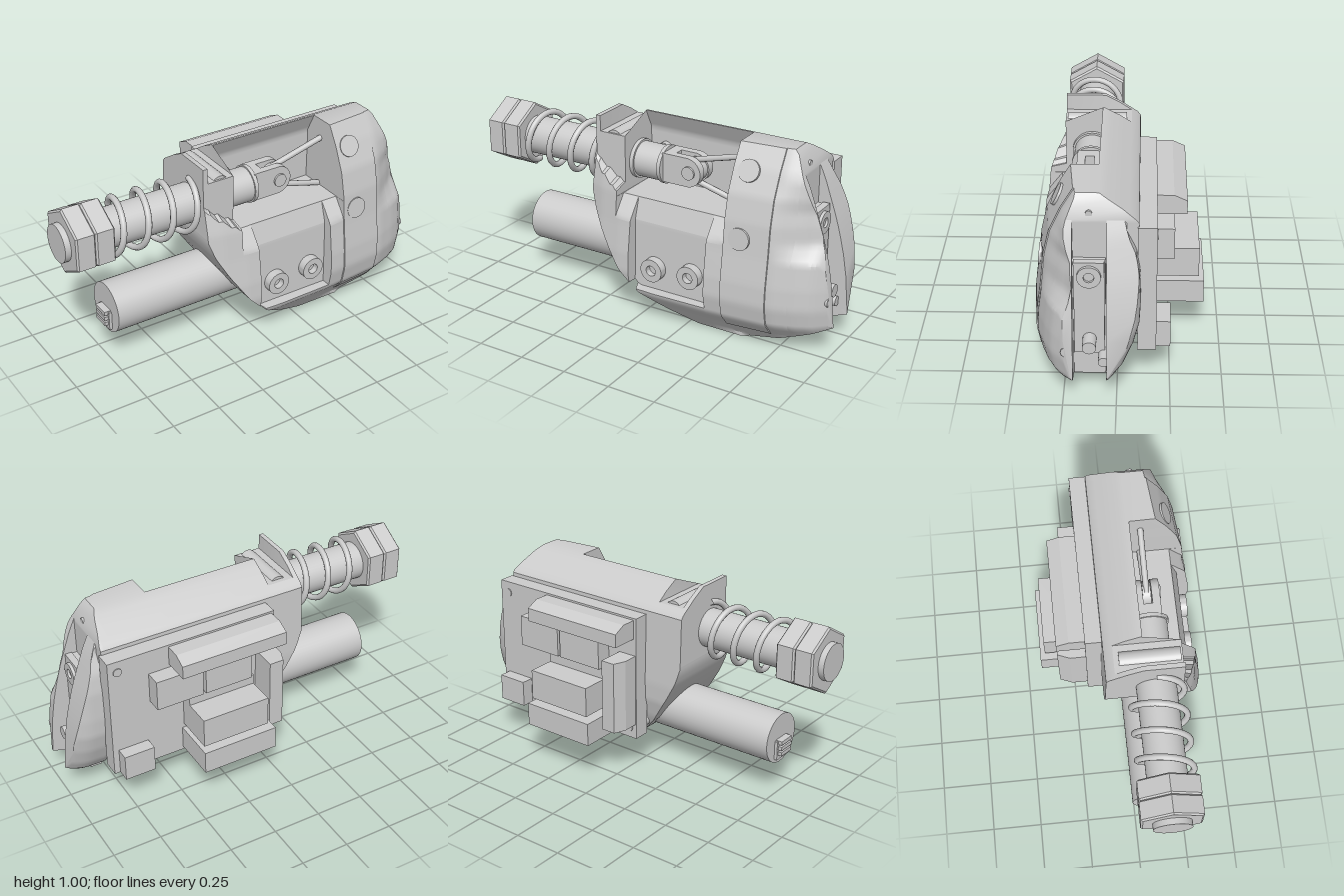
import * as THREE from 'three';
import { toCreasedNormals } from 'three/addons/utils/BufferGeometryUtils.js';

const mat = new THREE.MeshStandardMaterial({ color: 0xcccccc, side: THREE.DoubleSide });
const flat = new THREE.MeshStandardMaterial({ color: 0xcccccc, side: THREE.DoubleSide, flatShading: true });

// Piecewise linear lookup through [key, value] pairs
function lerp(t, k) {
  if (t <= k[0][0]) return k[0][1];
  for (let i = 1; i < k.length; i++) {
    if (t <= k[i][0]) {
      const [a, va] = k[i - 1], [b, vb] = k[i];
      return va + (vb - va) * (t - a) / (b - a);
    }
  }
  return k[k.length - 1][1];
}

// Housing outlines: bottom and top along x (top has a notch), front and back along y, front falloff along x
const BOTTOM = [[-0.29, 0.62], [-0.26, 0.53], [-0.2, 0.42], [-0.1, 0.27], [0, 0.165], [0.15, 0.065], [0.3, 0], [0.55, 0], [0.75, 0.05], [1, 0.145]];
const TOP = [[-0.2655, 1], [-0.2645, 0.92], [-0.1205, 0.92], [-0.1195, 1], [0.77, 1], [0.85, 0.83], [0.92, 0.63], [0.96, 0.48], [0.985, 0.33], [1, 0.15]];
const FRONT = [[0, 0.275], [0.08, 0.335], [0.15, 0.395], [0.25, 0.415], [0.35, 0.41], [0.5, 0.39], [0.65, 0.375], [0.78, 0.345], [0.9, 0.29], [1, 0.23]];
const BACK = [[0, 0.27], [0.04, 0.16], [0.08, 0.07], [0.14, 0], [0.2, -0.04], [0.3, -0.08], [0.4, -0.105], [0.5, -0.11], [0.7, -0.105], [0.88, -0.1], [0.9, -0.085], [0.96, 0.005], [1, 0.08]];
const INSET = [[-0.29, 0.055], [-0.22, 0.03], [-0.1, 0.01], [0.1, 0], [0.4, 0.007], [0.75, 0.04], [0.85, 0.075], [0.92, 0.11], [1, 0.185]];

const frontZ = (x, y) => {
  let z = lerp(y, FRONT) - lerp(x, INSET);
  if (x > 0.49 && x < 0.72 && y > 0.08) z += 0.006;                          // raised strap
  if (x > 0.72)                                                              // scoop beside the strap
    z -= lerp(x, [[0.72, 0], [0.9, 0.06]]) * lerp(y, [[0.48, 0], [0.57, 1], [0.72, 1], [0.86, 0]]);
  if (x < -0.12 && y > lerp(x, [[-0.29, 0.78], [-0.12, 0.66]])) z = 0.28;    // upright face round the plunger
  if (x > -0.12 && x < 0.49 && y > 0.52)                                     // sloping ledge
    z = Math.min(z, lerp(y, [[0.52, 0.385], [0.63, 0.3]]));
  if (x > -0.03 && x < 0.4 && y > 0.17 && y < 0.63)                          // screw pocket
    z = Math.min(z, lerp(y, [[0.17, 0.345], [0.52, 0.335], [0.63, 0.3]]));
  if (x > -0.12 && x < 0.49 && y > 0.63) z = Math.min(z, 0.04 + Math.max(0, y - 0.9) * 0.5); // lever bay
  return z;
};
const backZ = (x, y) => {
  const z = lerp(y, BACK);
  return x > 0.6 && x < 0.8 && y < 0.34 ? Math.max(z, 0.05) : z;             // standoff recess
};

// Evenly spaced values plus a close pair on each side of every step
function stations(a, b, step, edges) {
  const s = [];
  const n = Math.ceil((b - a) / step);
  for (let i = 0; i <= n; i++) s.push(a + (b - a) * i / n);
  for (const e of edges) if (e > a && e < b) s.push(e - 0.0007, e + 0.0007);
  return s.sort((p, q) => p - q);
}

// Loft along x, with closed sections between a back and a front surface
function loft(x0, x1, zf, zb) {
  const xs = stations(x0, x1, 0.02, [-0.265, -0.12, -0.03, 0.4, 0.49, 0.6, 0.72, 0.8]);
  const ys = stations(0, 1, 0.02, [0.08, 0.17, 0.34, 0.52, 0.63, 0.92]);
  const n = ys.length, ring = 2 * n, pos = [], idx = [];
  for (const x of xs) {
    const lo = lerp(x, BOTTOM), hi = Math.max(lo, lerp(x, TOP));
    const front = [], back = [];
    for (const level of ys) {
      const y = Math.min(hi, Math.max(lo, level)), b = zb(x, y);
      front.push([x, y, Math.max(b, zf(x, y))]);
      back.unshift([x, y, b]);
    }
    pos.push(...front.flat(), ...back.flat());
  }
  for (let i = 0; i < xs.length - 1; i++) {
    for (let k = 0; k < ring; k++) {
      const a = i * ring + k, d = i * ring + (k + 1) % ring;
      idx.push(a, a + ring, d, a + ring, d + ring, d);
    }
  }
  const e = (xs.length - 1) * ring;
  for (let j = 0; j < n - 1; j++) {
    const f = j, b = ring - 1 - j;
    idx.push(b, f, b - 1, f, f + 1, b - 1);
    idx.push(e + b, e + b - 1, e + f, e + f, e + b - 1, e + f + 1);
  }
  const g = new THREE.BufferGeometry();
  g.setAttribute('position', new THREE.Float32BufferAttribute(pos, 3));
  g.setIndex(idx);
  return toCreasedNormals(g, 0.5);
}

export function createModel() {
  const root = new THREE.Group();
  const add = (name, geo, m = mat) => {
    const mesh = new THREE.Mesh(geo, m);
    mesh.name = name;
    root.add(mesh);
    return mesh;
  };
  const box = (name, x0, x1, y0, y1, z0, z1) =>
    add(name, new THREE.BoxGeometry(x1 - x0, y1 - y0, z1 - z0)).position.set((x0 + x1) / 2, (y0 + y1) / 2, (z0 + z1) / 2);
  const cylX = (name, x0, x1, y, z, r, seg = 40) =>
    add(name, new THREE.CylinderGeometry(r, r, x1 - x0, seg).rotateZ(Math.PI / 2)).position.set((x0 + x1) / 2, y, z);
  const cylZ = (name, x, y, z0, z1, r, seg = 32) =>
    add(name, new THREE.CylinderGeometry(r, r, z1 - z0, seg).rotateX(Math.PI / 2)).position.set(x, y, (z0 + z1) / 2);
  const shape = (pts) => new THREE.Shape(pts.map(([a, b]) => new THREE.Vector2(a, b)));
  const extrude = (s, depth) => new THREE.ExtrudeGeometry(s, { depth, bevelEnabled: false, curveSegments: 20 });
  // Socket screw head: a ring with a recessed middle, facing local +z
  const screw = (name, x, y, z, r, h, sides) => {
    const s = new THREE.Shape().absarc(0, 0, r, 0, Math.PI * 2);
    s.holes.push(new THREE.Path(new THREE.Shape().absarc(0, 0, r * 0.45, 0, Math.PI * 2).getPoints(sides / 2)));
    const g = new THREE.Group();
    g.name = name;
    const head = new THREE.Mesh(toCreasedNormals(extrude(s, h), 0.6), mat);
    head.name = name + 'Head';
    const floor = new THREE.Mesh(new THREE.CircleGeometry(r * 0.6, 20), mat);
    floor.name = name + 'Socket';
    floor.position.z = h * 0.4;
    g.add(head, floor);
    g.position.set(x, y, z);
    root.add(g);
    return g;
  };

  // Housing, forked at its left end
  add('housing', loft(-0.29, 0.82, frontZ, backZ));
  add('frontJaw', loft(0.82, 1, frontZ, (x, y) => Math.max(0.2, backZ(x, y))));
  add('rearJaw', loft(0.82, 1,
    (x, y) => Math.min(0.045, frontZ(x, y)),
    (x, y) => backZ(x, y) + 0.05 * Math.max(0, (x - 0.88) / 0.12) ** 2 + lerp(y, [[0.65, 0], [0.75, 0.015], [0.84, 0.055]])));

  // Bar inside the fork
  box('forkBar', 0.8, 0.86, 0.085, 0.7, 0.05, 0.2);
  box('forkBarPlate', 0.85, 0.885, 0.22, 0.71, 0.055, 0.195);
  screw('forkScrew', 0.88, 0.64, 0.125, 0.055, 0.02, 12).rotation.y = Math.PI / 2;
  cylX('forkPin', 0.88, 0.965, 0.3, 0.125, 0.032);
  cylX('sideScrewFront', 0.84, 0.985, 0.29, 0.23, 0.025, 20);
  cylX('sideScrewRear', 0.84, 0.95, 0.21, 0.06, 0.025, 20);
  cylX('topPin', 0.77, 0.812, 0.92, 0.125, 0.016, 16);

  // Front screws and the strap rivets
  for (const [x, y] of [[0.09, 0.285], [0.3, 0.3]]) {
    screw('pocketScrew', x, y, 0.33, 0.06, 0.055, 32);
  }
  for (const y of [0.885, 0.57]) {
    const slope = (frontZ(0.57, y + 0.04) - frontZ(0.57, y - 0.04)) / 0.08;
    const rivet = add('strapRivet', new THREE.CylinderGeometry(0.055, 0.055, 0.02, 32).rotateX(Math.PI / 2));
    rivet.position.set(0.57, y, frontZ(0.57, y) - 0.002);
    rivet.rotation.x = Math.atan(slope);
  }

  // Pin lying in the top notch
  cylZ('notchPin', -0.19, 0.89, -0.03, 0.27, 0.046);

  // Spring plunger
  const AY = 0.765, AZ = 0.145;
  cylX('plungerRod', -0.8, -0.1, AY, AZ, 0.1);
  cylX('plungerEnd', -1, -0.78, AY, AZ, 0.095);
  const nutProfile = [[0, 0], [0.162, 0], [0.173, 0.008], [0.173, 0.092], [0.162, 0.1], [0, 0.1]].map(([r, h]) => new THREE.Vector2(r, h));
  for (const x of [-0.87, -0.77]) {
    add('hexNut', new THREE.LatheGeometry(nutProfile, 6, Math.PI / 2).rotateZ(Math.PI / 2), flat).position.set(x, AY, AZ);
  }
  class Helix extends THREE.Curve {
    getPoint(t, v = new THREE.Vector3()) {
      const a = t * Math.PI * 2 * 3.5 + Math.PI;
      return v.set(-0.755 + 0.465 * t, AY + 0.133 * Math.cos(a), AZ - 0.133 * Math.sin(a));
    }
  }
  add('spring', new THREE.TubeGeometry(new Helix(), 220, 0.016, 10));

  // Clevis and link inside the bay
  cylX('plungerSleeve', -0.13, 0.05, AY, AZ, 0.09);
  cylX('sleeveCollar', 0.035, 0.055, AY, AZ, 0.098);
  const cheek = new THREE.Shape().moveTo(0.05, 0.695).lineTo(0.19, 0.695)
    .absarc(0.19, 0.77, 0.075, -Math.PI / 2, Math.PI / 2).lineTo(0.05, 0.845);
  for (const z of [0.085, 0.17]) add('clevisCheek', extrude(cheek, 0.04)).position.z = z;
  box('clevisRoot', 0.05, 0.11, 0.695, 0.845, 0.085, 0.21);
  cylZ('clevisPin', 0.2, 0.77, 0.075, 0.22, 0.034);
  cylZ('linkEye', 0.2, 0.77, 0.127, 0.168, 0.06);
  for (const [y0, y1] of [[0.815, 0.9], [0.72, 0.635]]) {
    const path = new THREE.LineCurve3(new THREE.Vector3(0.18, y0, 0.147), new THREE.Vector3(0.5, y1, 0.147));
    add('linkArm', new THREE.TubeGeometry(path, 1, 0.015, 8));
  }

  // Motor can below the plunger
  cylX('motorCan', -0.75, 0.2, 0.3, 0.115, 0.13, 48);
  for (const y of [0.235, 0.265, 0.295]) box('motorTerminal', -0.785, -0.74, y - 0.01, y + 0.01, 0.07, 0.16);
  box('terminalStrip', -0.765, -0.74, 0.2, 0.3, 0.06, 0.17);

  // Circuit board on standoffs with its components
  box('circuitBoard', -0.075, 0.83, 0.2, 0.86, -0.183, -0.095);
  for (const x of [-0.03, 0.72]) {
    for (const y of [0.255, 0.8]) cylZ('standoff', x, y, -0.1, 0.07, 0.035);
  }
  for (const [x, y] of [[-0.03, 0.255], [0.78, 0.8]]) cylZ('boardScrew', x, y, -0.188, -0.17, 0.022, 20);
  const rail = shape([[0.18, 0.75], [0.325, 0.75], [0.325, 0.82], [0.262, 0.85], [0.18, 0.85]]);
  add('topConnector', extrude(rail, 0.57).rotateY(Math.PI / 2)).position.x = -0.06;
  const side = shape([[-0.07, 0.18], [0.03, 0.18], [0.03, 0.325], [-0.045, 0.325], [-0.07, 0.262]]);
  add('sideConnector', extrude(side, 0.38).rotateX(-Math.PI / 2)).position.y = 0.28;
  box('chip', 0.37, 0.62, 0.57, 0.732, -0.266, -0.18);
  box('chip', 0.1, 0.355, 0.57, 0.732, -0.266, -0.18);
  box('lowerChip', 0.08, 0.44, 0.515, 0.57, -0.25, -0.18);
  box('upperSocket', 0.08, 0.44, 0.36, 0.517, -0.392, -0.18);
  box('lowerSocket', 0.05, 0.45, 0.217, 0.338, -0.418, -0.18);
  box('cornerConnector', 0.64, 0.8, 0.2, 0.338, -0.25, -0.18);
  return root;
}
